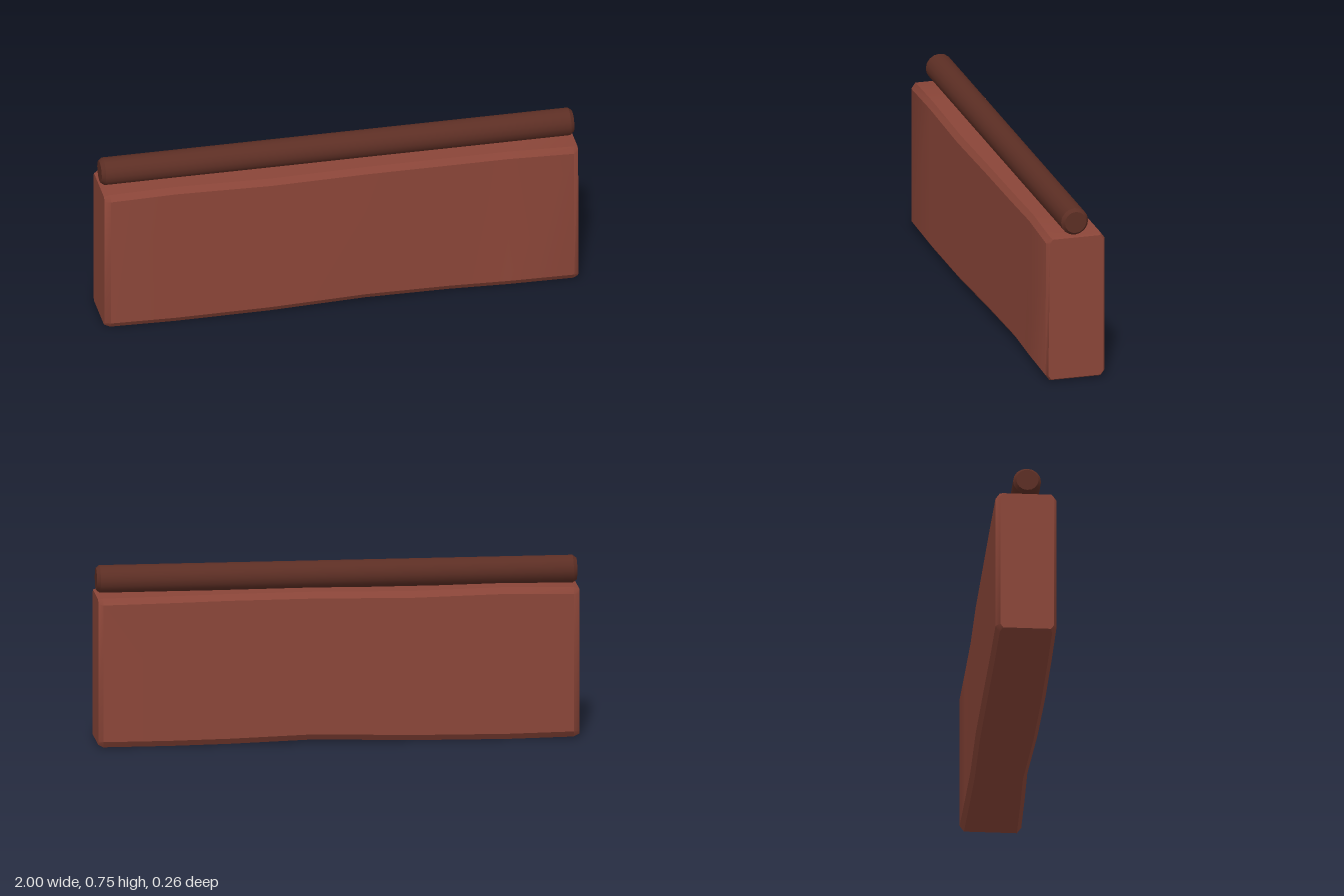
import * as THREE from 'three';
import { toCreasedNormals } from 'three/addons/utils/BufferGeometryUtils.js';

// Joins slightly uneven chamfered cross-sections along x into a closed block.
function loftBlock(sections) {
  const pos = [], index = [], n = 8;
  for (const [x, y0, y1, back, front, low, c] of sections) {
    // low is the z of the lower front edge
    const loop = [
      [low - c, y0], [back + c, y0], [back, y0 + c * 1.4], [back, y1 - c * 1.4],
      [back + c, y1], [front - c, y1], [front, y1 - c * 1.4], [low, y0 + c * 1.4],
    ];
    for (const [z, y] of loop) pos.push(x, y, z);
  }
  for (let i = 0; i < sections.length - 1; i++) {
    for (let j = 0; j < n; j++) {
      const a = i * n + j, b = i * n + (j + 1) % n, c = a + n, d = b + n;
      index.push(a, b, c, b, d, c);
    }
  }
  // End caps
  const last = (sections.length - 1) * n;
  for (let j = 1; j < n - 1; j++) {
    index.push(0, j + 1, j, last, last + j, last + j + 1);
  }
  const geo = new THREE.BufferGeometry();
  geo.setAttribute('position', new THREE.Float32BufferAttribute(pos, 3));
  geo.setIndex(index);
  return toCreasedNormals(geo, 0.6);
}

export function createModel() {
  const group = new THREE.Group();
  const wallBrown = new THREE.MeshStandardMaterial({ color: 0x8a4538 });
  wallBrown.name = 'reddish brown';
  const railBrown = new THREE.MeshStandardMaterial({ color: 0x5c2e24 });
  railBrown.name = 'dark brown';

  // Wall: x, bottom, top, back, front, lower front, chamfer
  const wall = new THREE.Mesh(loftBlock([
    [-1.0, 0.015, 0.625, -0.112, 0.11, 0.11, 0.012],
    [-0.975, 0.006, 0.635, -0.13, 0.122, 0.122, 0.018],
    [-0.7, 0.002, 0.642, -0.13, 0.125, 0.125, 0.018],
    [-0.3, 0.006, 0.634, -0.131, 0.126, 0.128, 0.018],
    [0.1, 0.018, 0.64, -0.13, 0.125, 0.126, 0.018],
    [0.45, 0.006, 0.637, -0.125, 0.12, 0.11, 0.018],
    [0.7, 0.003, 0.633, -0.127, 0.113, 0.118, 0.018],
    [0.975, 0.004, 0.63, -0.13, 0.122, 0.125, 0.018],
    [0.995, 0.014, 0.625, -0.118, 0.11, 0.118, 0.012],
  ]), wallBrown);
  wall.name = 'wall';
  group.add(wall);

  // Round rail lying along the top, with bevelled ends
  const profile = [[0, -0.998], [0.046, -0.998], [0.058, -0.982], [0.058, 0.978], [0.046, 0.993], [0, 0.993]]
    .map(([r, y]) => new THREE.Vector2(r, y));
  const railGeo = toCreasedNormals(new THREE.LatheGeometry(profile, 16), 0.6);
  railGeo.rotateZ(-Math.PI / 2);
  const rail = new THREE.Mesh(railGeo, railBrown);
  rail.name = 'topRail';
  rail.position.y = 0.69;
  group.add(rail);

  return group;
}
